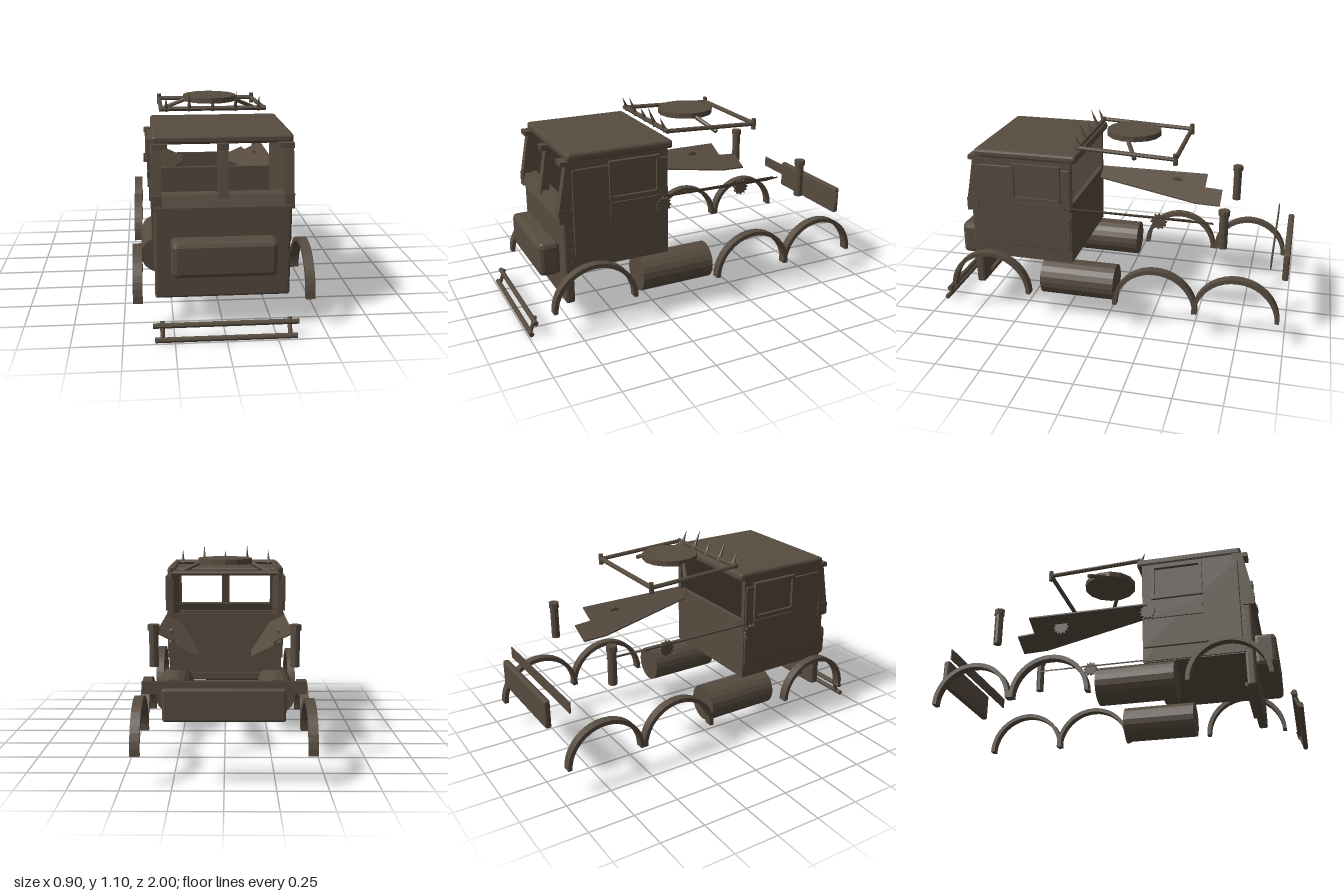
import * as THREE from 'three';
import { RoundedBoxGeometry } from 'three/addons/geometries/RoundedBoxGeometry.js';

export function createModel() {
  const root = new THREE.Group();
  const steel = new THREE.MeshStandardMaterial({ color: 0x574b3f, flatShading: true });
  steel.name = 'weathered steel';

  const add = (name, geo) => {
    const m = new THREE.Mesh(geo, steel);
    m.name = name;
    root.add(m);
    return m;
  };
  // Box from its limits on each axis, with optional chamfer
  const box = (name, x0, x1, y0, y1, z0, z1, bevel = 0) => {
    const s = [Math.abs(x1 - x0), y1 - y0, z1 - z0];
    const geo = bevel ? new RoundedBoxGeometry(...s, 1, bevel) : new THREE.BoxGeometry(...s);
    const m = add(name, geo);
    m.position.set((x0 + x1) / 2, (y0 + y1) / 2, (z0 + z1) / 2);
    return m;
  };
  // Round rod (or cone) between two points
  const rod = (name, a, b, r, sides = 8, rTop = r) => {
    const p = new THREE.Vector3(...a), q = new THREE.Vector3(...b);
    const d = q.clone().sub(p);
    const m = add(name, new THREE.CylinderGeometry(rTop, r, d.length(), sides));
    m.position.copy(p).add(q).multiplyScalar(0.5);
    m.quaternion.setFromUnitVectors(new THREE.Vector3(0, 1, 0), d.normalize());
    return m;
  };
  // Box sheared so that its top is moved along z
  const leaning = (name, x0, x1, y0, y1, z0, z1, shift) => {
    const m = box(name, x0, x1, y0, y1, z0, z1);
    const p = m.geometry.attributes.position;
    for (let i = 0; i < p.count; i++) if (p.getY(i) > 0) p.setZ(i, p.getZ(i) + shift);
    m.geometry.computeVertexNormals();
    return m;
  };

  // Cab shell
  box('frontPanel', -0.34, 0.34, 0.145, 0.64, 0.735, 0.785, 0.012);
  box('grilleArmour', -0.26, 0.26, 0.285, 0.47, 0.775, 0.895, 0.025);
  leaning('windscreenSill', -0.335, 0.335, 0.62, 0.68, 0.74, 0.808, -0.02);
  box('cabFloor', -0.335, 0.335, 0.33, 0.35, 0.2, 0.745);
  box('backWall', -0.335, 0.335, 0.335, 0.68, 0.195, 0.22);
  box('roof', -0.347, 0.347, 0.922, 0.968, 0.165, 0.75, 0.014);
  box('crossMember', -0.25, 0.25, 0.18, 0.2, 0.715, 0.737);
  leaning('centrePillar', -0.025, 0.025, 0.66, 0.93, 0.755, 0.8, -0.045);
  box('visorCentre', -0.025, 0.025, 0.9, 0.93, 0.73, 0.785);

  for (const s of [-1, 1]) {
    box('sideWall', s * 0.315, s * 0.343, 0.335, 0.93, 0.195, 0.745);
    box('doorPanel', s * 0.338, s * 0.352, 0.41, 0.885, 0.2, 0.73, 0.004);
    box('doorPlate', s * 0.345, s * 0.36, 0.58, 0.68, 0.25, 0.53);
    box('sillCorner', s * 0.3, s * 0.35, 0.605, 0.68, 0.735, 0.805);
    leaning('frontPillar', s * 0.3, s * 0.347, 0.66, 0.93, 0.75, 0.805, -0.05);
    box('visorCorner', s * 0.27, s * 0.345, 0.905, 0.93, 0.72, 0.785);

    // Side window frame
    for (const z of [0.25, 0.515]) box('windowFrame', s * 0.345, s * 0.367, 0.695, 0.905, z, z + 0.018);
    for (const y of [0.695, 0.887]) box('windowFrame', s * 0.345, s * 0.367, y, y + 0.018, 0.25, 0.533);

    // Fuel tanks
    rod('fuelTank', [s * 0.308, 0.227, -0.052], [s * 0.308, 0.227, 0.37], 0.102, 20);

    // Wheel arches
    const r = s > 0 ? 0.235 : 0.222;
    for (const z of [0.655, -0.295, -0.735]) {
      const shape = new THREE.Shape();
      shape.absarc(0, 0, r, 0, Math.PI, false);
      shape.absarc(0, 0, r - 0.023, Math.PI, 0, true);
      const arch = add('wheelArch', new THREE.ExtrudeGeometry(shape, { depth: 0.048, bevelEnabled: false, curveSegments: 10 }));
      arch.rotation.y = Math.PI / 2;
      arch.position.set(s > 0 ? 0.402 : -0.45, 0.16, z);
    }

    // Tilted, tapering deck wings: high on the outer edge
    const outer = new THREE.Shape([[0.36, 0.23], [0.36, -0.46], [0.25, -0.46], [0.25, -0.1], [0.3, 0.23]].map(p => new THREE.Vector2(...p)));
    const inner = new THREE.Shape([[0.31, 0.2], [0.25, -0.565], [0.135, -0.565], [0.14, -0.42], [0.27, 0.2]].map(p => new THREE.Vector2(...p)));
    for (const [name, shape] of [['outerWing', outer], ['innerWing', inner]]) {
      const geo = new THREE.ExtrudeGeometry(shape, { depth: 0.008, bevelEnabled: false });
      // Lay the outline flat, then raise it with distance from the middle
      const p = geo.attributes.position;
      for (let i = 0; i < p.count; i++) {
        const x = p.getX(i), z = p.getY(i), t = p.getZ(i);
        p.setXYZ(i, s * x, 0.565 + (x - 0.13) * 0.48 + (s > 0 ? -t : t), z);
      }
      // Mirrored side keeps outward faces by flipping thickness too
      if (s < 0) for (let i = 0; i < p.count; i++) p.setY(i, p.getY(i) - 0.008);
      if (s < 0) {
        for (let i = 0; i < p.count; i += 3) p.setXYZ(i, p.getX(i), p.getY(i), p.getZ(i));
      }
      geo.computeVertexNormals();
      add(name, geo);
    }

    // Toothed discs
    for (const [x, z] of [[0.36, 0.23], [0.296, -0.285]]) {
      const gear = new THREE.Shape();
      for (let i = 0; i < 24; i++) {
        const a = i * Math.PI / 12, q = i % 2 ? 0.034 : 0.046;
        gear[i ? 'lineTo' : 'moveTo'](Math.cos(a) * q, Math.sin(a) * q);
      }
      const m = add('toothedDisc', new THREE.ExtrudeGeometry(gear, { depth: 0.016, bevelEnabled: false }));
      m.rotation.y = Math.PI / 2;
      m.position.set(s * x - 0.008, 0.62, z);
    }

    // Exhaust stacks
    rod('exhaustStack', [s * 0.356, 0.53, -0.642], [s * 0.356, 0.72, -0.642], 0.024, 10);
    rod('exhaustCap', [s * 0.356, 0.715, -0.642], [s * 0.356, 0.745, -0.642], 0.03, 8);

    // Roof rack sides and struts
    rod('rackSideRail', [s * 0.285, 1.0, 0.17], [s * 0.285, 0.976, -0.368], 0.012);
    rod('rackRearPost', [s * 0.285, 0.945, -0.365], [s * 0.285, 1.005, -0.365], 0.013);
    rod('rackStrut', [s * 0.265, 0.955, -0.14], [s * 0.13, 1.02, -0.07], 0.012);
    rod('bumperPost', [s * 0.31, 0.01, 0.985], [s * 0.31, 0.1, 0.952], 0.011);
  }

  // Roof rack cross rails
  rod('rackFrontRail', [-0.295, 1.0, 0.168], [0.295, 1.0, 0.168], 0.013);
  rod('rackRearRail', [-0.293, 0.978, -0.365], [0.293, 0.978, -0.365], 0.013);
  rod('hatchDisc', [0, 1.01, -0.08], [0, 1.04, -0.08], 0.154, 14);

  // Spikes leaning forward
  for (const [x, y] of [[-0.257, 1.067], [-0.13, 1.097], [0, 1.067], [0.126, 1.097], [0.254, 1.067]])
    rod('spike', [x, 0.99, 0.165], [x, y, 0.165 + (y - 0.99) * 0.4], 0.014, 6, 0.0005);

  // Front bumper bars
  rod('bumperUpperBar', [-0.356, 0.08, 0.962], [0.356, 0.08, 0.962], 0.014);
  rod('bumperLowerBar', [-0.346, 0.016, 0.986], [0.346, 0.016, 0.986], 0.014);

  // Rear plates
  box('rearStrip', -0.392, 0.392, 0.45, 0.512, -0.905, -0.898);
  box('rearBumper', -0.29, 0.29, 0.337, 0.495, -0.996, -0.962, 0.01);

  return root;
}
